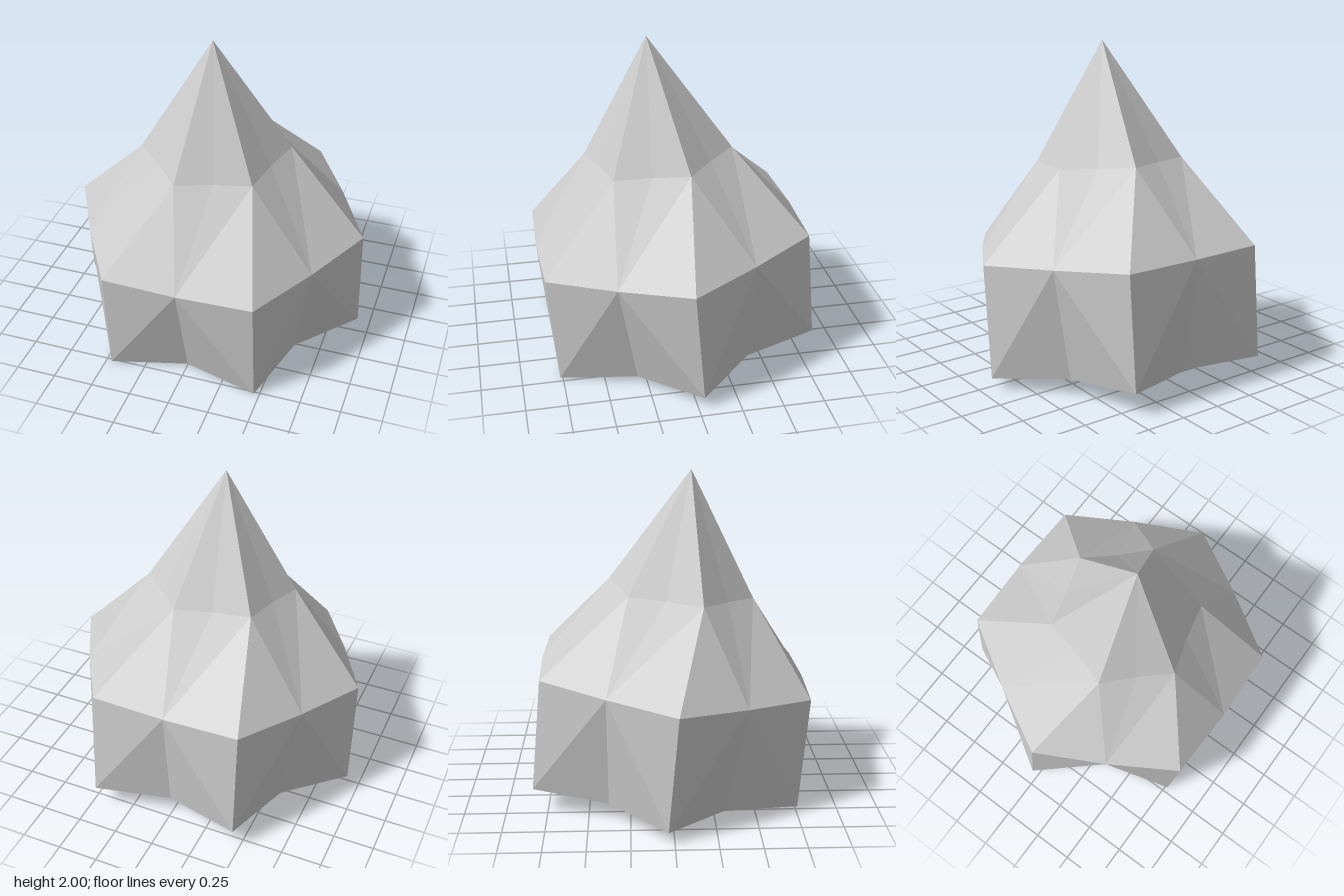
import * as THREE from 'three';

// Ring of 12 points: six corners alternating with six inset edge points
function ring(y, corner, inset, twistDeg = 0) {
  const pts = [];
  for (let i = 0; i < 12; i++) {
    const a = THREE.MathUtils.degToRad(i * 30 + twistDeg);
    const r = i % 2 ? inset : corner;
    pts.push(new THREE.Vector3(Math.cos(a) * r, y, Math.sin(a) * r));
  }
  return pts;
}

function toMesh(name, tris, material) {
  const geo = new THREE.BufferGeometry().setFromPoints(tris);
  geo.computeVertexNormals();
  const mesh = new THREE.Mesh(geo, material);
  mesh.name = name;
  return mesh;
}

// Join two rings; wantLowerCorner picks which diagonal each panel folds along
function band(lower, upper, wantLowerCorner) {
  const tris = [];
  for (let i = 0; i < 12; i++) {
    const j = (i + 1) % 12;
    const iIsCorner = i % 2 === 0;
    if (iIsCorner === wantLowerCorner) {
      tris.push(lower[i], upper[i], upper[j], lower[i], upper[j], lower[j]);
    } else {
      tris.push(lower[i], upper[i], lower[j], upper[i], upper[j], lower[j]);
    }
  }
  return tris;
}

// Close a ring with a fan to one point
function fan(pts, tip, up) {
  const tris = [];
  pts.forEach((p, i) => {
    const q = pts[(i + 1) % 12];
    if (up) tris.push(p, tip, q);
    else tris.push(q, tip, p);
  });
  return tris;
}

export function createModel() {
  const grey = new THREE.MeshStandardMaterial({ color: 0xcccccc });
  grey.name = 'light grey';
  grey.flatShading = true;

  const base = ring(0, 0.93, 0.69);
  const eaves = ring(0.69, 0.93, 0.82);
  const shoulder = ring(1.2, 0.456, 0.385, -15);

  // Leaning body
  const body = new THREE.Group();
  body.name = 'body';
  body.add(
    toMesh('floor', fan(base, new THREE.Vector3(0, 0, 0), false), grey),
    toMesh('walls', band(base, eaves, true), grey),
    toMesh('lowerRoof', band(eaves, shoulder, false), grey),
    toMesh('spire', fan(shoulder, new THREE.Vector3(0, 1.935, 0), true), grey)
  );
  body.rotation.x = THREE.MathUtils.degToRad(5);
  body.position.set(0, 0.071, -0.036);

  const model = new THREE.Group();
  model.name = 'twistedHexTent';
  model.add(body);
  return model;
}
